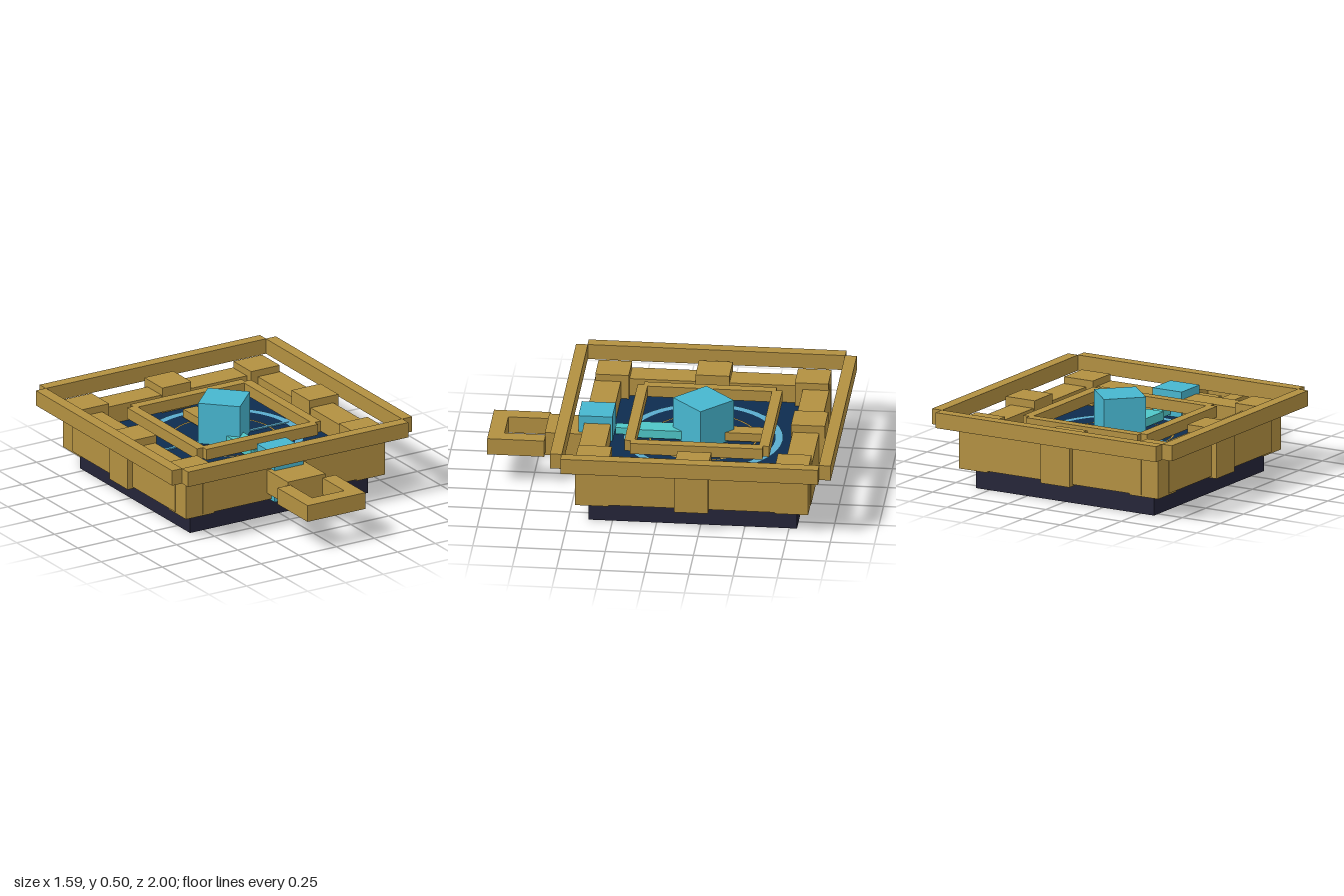
import * as THREE from 'three';

const mat = (name, color) => {
  const m = new THREE.MeshStandardMaterial({ color });
  m.name = name;
  return m;
};

export function createModel() {
  const gold = mat('gold', 0xb29041);
  const dark = mat('darkBase', 0x242438);
  const navy = mat('navy', 0x0d2c4f);
  const cyan = mat('cyan', 0x47b6cf);
  const teal = mat('teal', 0x4fc6c8);
  const sky = mat('skyBlue', 0x5aacce);
  const model = new THREE.Group();
  model.name = 'compass';
  const C = -0.205; // z of the dial centre

  // Box given by its extents on each axis
  const box = (name, m, x0, x1, y0, y1, z0, z1, parent = model) => {
    const mesh = new THREE.Mesh(new THREE.BoxGeometry(x1 - x0, y1 - y0, z1 - z0), m);
    mesh.position.set((x0 + x1) / 2, (y0 + y1) / 2, (z0 + z1) / 2);
    mesh.name = name;
    parent.add(mesh);
    return mesh;
  };

  // Square frame of four bars around the dial centre
  const frame = (name, inner, outer, longHalf, sideHalf, y0, y1) => {
    const g = new THREE.Group();
    g.name = name;
    for (const s of [-1, 1]) {
      const mid = s * (inner + outer) / 2, h = (outer - inner) / 2;
      box('crossBar', gold, -longHalf, longHalf, y0, y1, C + mid - h, C + mid + h, g);
      box('sideBar', gold, mid - h, mid + h, y0, y1, C - sideHalf, C + sideHalf, g);
    }
    model.add(g);
  };

  // Flat ring lying on the dial
  const ring = (name, m, r0, r1, y) => {
    const mesh = new THREE.Mesh(new THREE.RingGeometry(r0, r1, 48), m);
    mesh.rotation.x = -Math.PI / 2;
    mesh.position.set(0, y, C);
    mesh.name = name;
    model.add(mesh);
  };

  // Base and dial
  box('base', dark, -0.59, 0.59, 0, 0.13, C - 0.59, C + 0.59);
  box('dial', navy, -0.53, 0.53, 0.125, 0.26, C - 0.53, C + 0.53);
  ring('outerDialRing', sky, 0.405, 0.45, 0.264);
  ring('innerDialRing', gold, 0.295, 0.307, 0.264);
  box('crossLine', sky, -0.43, 0.43, 0.258, 0.267, C - 0.02, C);

  // Case walls, upper rim and inner rim
  frame('caseWalls', 0.515, 0.665, 0.55, 0.55, 0.13, 0.365);
  frame('outerRim', 0.728, 0.795, 0.73, 0.73, 0.375, 0.465);
  frame('innerRim', 0.352, 0.41, 0.37, 0.375, 0.335, 0.4);

  // Corner blocks
  for (const sx of [-1, 1]) for (const sz of [-1, 1]) {
    const x = sx * 0.565, z = C + sz * 0.565;
    box('cornerBlock', gold, x - 0.095, x + 0.095, 0.12, 0.405, z - 0.095, z + 0.095);
  }

  // Cardinal blocks, the front one in cyan
  for (const [dx, dz, m] of [[1, 0, gold], [-1, 0, gold], [0, -1, gold], [0, 1, cyan]]) {
    const x = dx * 0.602, z = C + dz * 0.602;
    box('cardinalBlock', m, x - 0.096, x + 0.096, 0.12, 0.41, z - 0.096, z + 0.096);
  }

  // Needle
  box('needleTail', gold, -0.045, 0.045, 0.27, 0.32, -0.57, C);
  box('needle', teal, -0.055, 0.055, 0.27, 0.32, C, 0.175);
  box('needleTip', teal, -0.03, 0.03, 0.275, 0.315, 0.175, 0.29);

  // Diamond-set centre gem
  const gem = new THREE.Mesh(new THREE.CylinderGeometry(0.172, 0.172, 0.25, 4).toNonIndexed(), cyan);
  gem.geometry.computeVertexNormals();
  gem.position.set(0, 0.378, C);
  gem.name = 'centreGem';
  model.add(gem);

  // Handle loop
  box('handleNeck', gold, -0.125, 0.125, 0.17, 0.31, 0.44, 0.68);
  for (const s of [-1, 1]) {
    const x = s * 0.149;
    box('handleSide', gold, x - 0.043, x + 0.043, 0.19, 0.288, 0.677, 1);
  }
  box('handleEnd', gold, -0.106, 0.106, 0.19, 0.288, 0.91, 1);

  return model;
}
